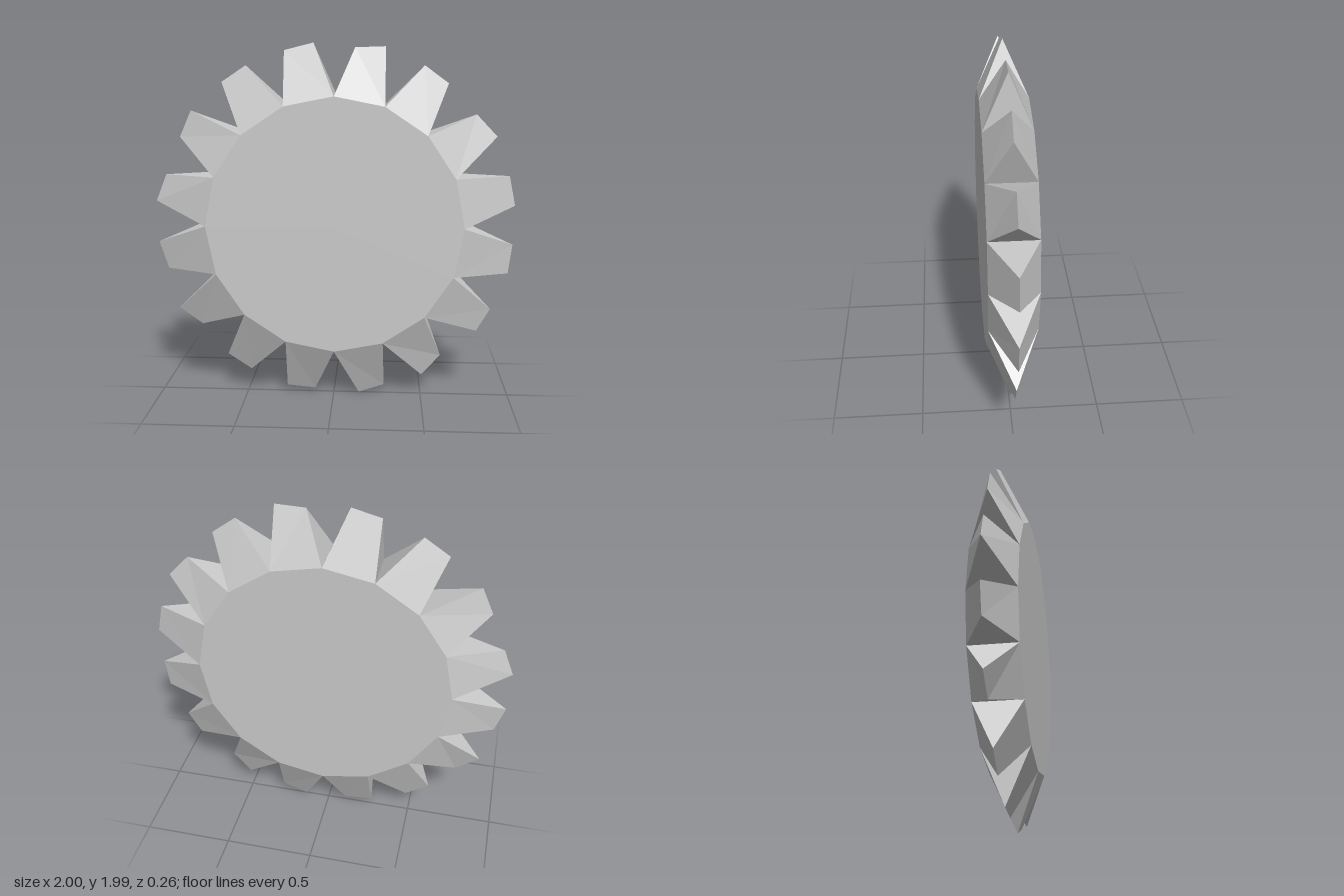
import * as THREE from 'three';

const SIDES = 16, RADIUS = 0.71, HALF = 0.13, CX = 0.007, CY = 1;

// Ridge of each hand-cut tooth, counterclockwise from +x: x1, y1, x2, y2
const RIDGES = [
  [1.0, 1.11, 0.965, 1.275], [0.89, 1.49, 0.775, 1.61],
  [0.62, 1.775, 0.49, 1.87], [0.28, 1.97, 0.115, 1.965],
  [-0.11, 1.99, -0.27, 1.95], [-0.48, 1.87, -0.615, 1.78],
  [-0.79, 1.625, -0.855, 1.48], [-0.94, 1.27, -1.0, 1.12],
  [-0.995, 0.885, -0.945, 0.73], [-0.89, 0.495, -0.76, 0.4],
  [-0.615, 0.22, -0.48, 0.13], [-0.27, 0.035, -0.107, 0.02],
  [0.145, 0, 0.29, 0.05], [0.505, 0.115, 0.61, 0.235],
  [0.81, 0.385, 0.885, 0.515], [0.975, 0.725, 0.995, 0.89],
];

// Corner i of the hub polygon at depth z
function corner(i, z) {
  const a = (i / SIDES) * Math.PI * 2;
  return [CX + RADIUS * Math.cos(a), CY + RADIUS * Math.sin(a), z];
}

// Wedge from one side of the hub out to a ridge at z = 0
function toothGeometry(i, [x1, y1, x2, y2]) {
  const f1 = corner(i, HALF), f2 = corner(i + 1, HALF);
  const b1 = corner(i, -HALF), b2 = corner(i + 1, -HALF);
  const t1 = [x1, y1, 0], t2 = [x2, y2, 0];
  const triangles = [
    f1, t1, t2, f1, t2, f2, // front slope
    b1, t2, t1, b1, b2, t2, // back slope
    f1, b1, t1, f2, t2, b2, // flanks
  ];
  const geometry = new THREE.BufferGeometry();
  geometry.setAttribute('position', new THREE.Float32BufferAttribute(triangles.flat(), 3));
  geometry.computeVertexNormals();
  return geometry;
}

export function createModel() {
  const group = new THREE.Group();
  group.name = 'toothedWheel';
  const material = new THREE.MeshStandardMaterial({ color: 0xcccccc, flatShading: true });

  // Flat hub faces
  for (const side of [1, -1]) {
    const face = new THREE.Mesh(new THREE.CircleGeometry(RADIUS, SIDES), material);
    face.name = side > 0 ? 'frontFace' : 'backFace';
    face.position.set(CX, CY, side * HALF);
    if (side < 0) face.rotation.y = Math.PI;
    group.add(face);
  }

  // Ring of teeth
  const teeth = new THREE.Group();
  teeth.name = 'teeth';
  RIDGES.forEach((ridge, i) => {
    const tooth = new THREE.Mesh(toothGeometry(i, ridge), material);
    tooth.name = `tooth${i + 1}`;
    teeth.add(tooth);
  });
  group.add(teeth);
  return group;
}
